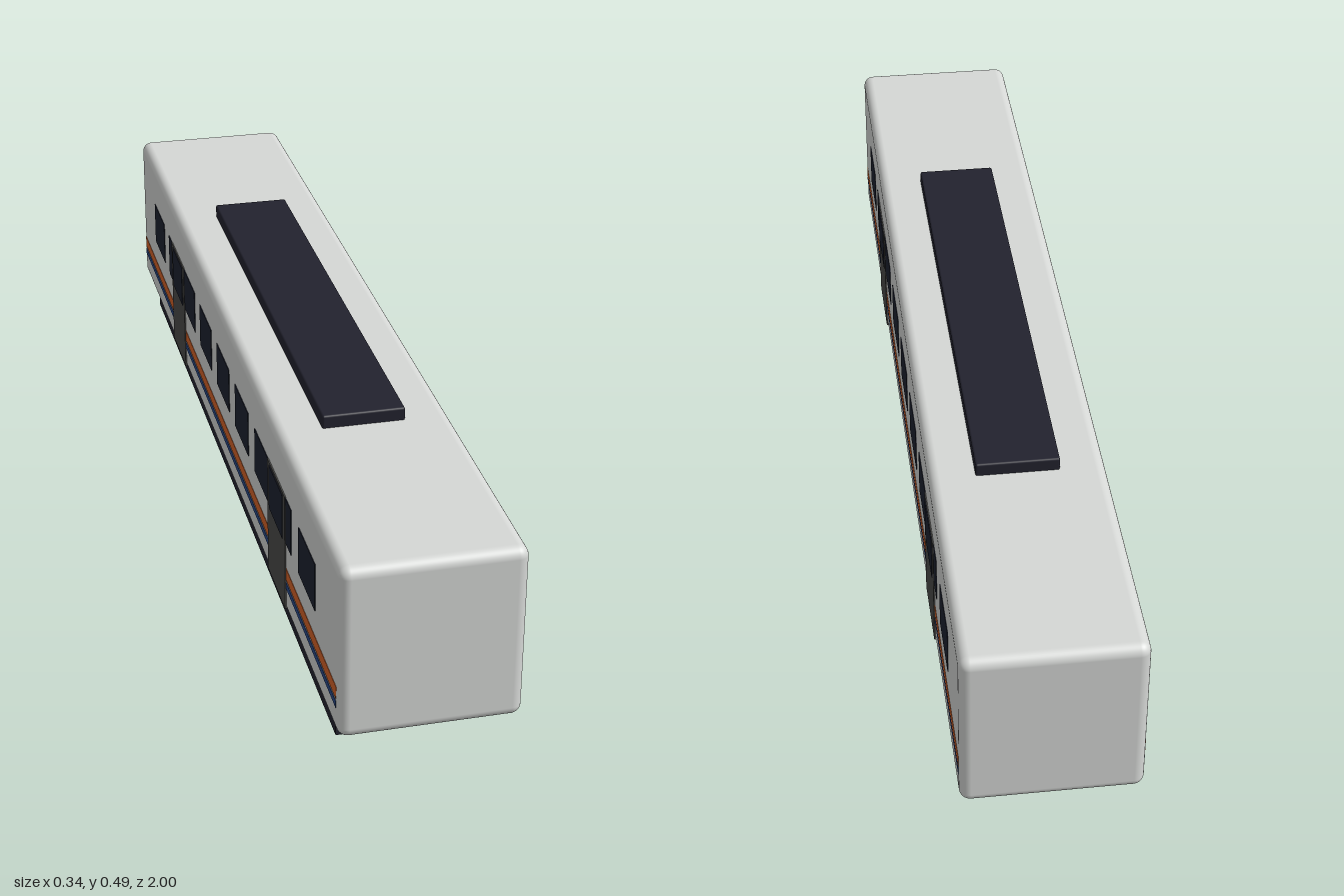
import * as THREE from 'three';
import { RoundedBoxGeometry } from 'three/addons/geometries/RoundedBoxGeometry.js';

const paint = (name, color) => {
  const m = new THREE.MeshStandardMaterial({ color });
  m.name = name;
  return m;
};

export function createModel() {
  const shell = paint('pale grey shell', 0xd6d8d6);
  const dark = paint('dark underframe', 0x22222e);
  const glass = paint('dark glass', 0x1e2230);
  const metal = paint('grey metal', 0x4c4c4a);
  const orange = paint('orange stripe', 0xd9652a);
  const blue = paint('blue stripe', 0x2a4a8c);

  const train = new THREE.Group();
  train.name = 'railCarriage';

  const add = (name, geometry, material, x, y, z) => {
    const mesh = new THREE.Mesh(geometry, material);
    mesh.name = name;
    mesh.position.set(x, y, z);
    train.add(mesh);
    return mesh;
  };
  const box = (name, material, w, h, d, x, y, z) =>
    add(name, new THREE.BoxGeometry(w, h, d), material, x, y, z);

  // Body shell, roof unit and underframe
  add('body', new RoundedBoxGeometry(0.33, 0.34, 2, 5, 0.02), shell, 0, 0.291, 0);
  add('roofUnit', new RoundedBoxGeometry(0.157, 0.034, 1.024, 2, 0.004), dark, 0, 0.469, 0);
  box('underframe', dark, 0.296, 0.068, 1.82, 0, 0.101, 0);

  // Thin plate whose outer face sits at distance "out" from the centre line
  const T = 0.006;
  const plate = (name, material, side, out, y0, y1, z, length) =>
    box(name, material, T, y1 - y0, length, side * (out - T / 2), (y0 + y1) / 2, z);

  for (const side of [-1, 1]) {
    // Stripes along the side
    plate('orangeStripe', orange, side, 0.1658, 0.195, 0.22, 0, 1.96);
    plate('blueStripe', blue, side, 0.1658, 0.176, 0.19, 0, 1.96);

    // Row of nine windows
    for (let i = -4; i <= 4; i++)
      plate('window', glass, side, 0.1664, 0.274, 0.369, i * 0.19, 0.128);

    // Two doors, each with a glazed upper half
    for (const z of [-0.515, 0.515]) {
      plate('door', metal, side, 0.1676, 0.131, 0.371, z, 0.15);
      plate('doorGlass', glass, side, 0.169, 0.274, 0.366, z, 0.115);
    }
  }

  // Bogies with four wheels each
  const wheel = new THREE.CylinderGeometry(0.052, 0.052, 0.013, 32).rotateZ(Math.PI / 2);
  for (const z of [-0.626, 0.626]) {
    add('bogieFrame', new RoundedBoxGeometry(0.248, 0.04, 0.29, 2, 0.003), dark, 0, 0.073, z);
    for (const x of [-0.082, 0.082])
      for (const dz of [-0.102, 0.102])
        add('wheel', wheel, metal, x, 0.052, z + dz);
  }

  return train;
}
